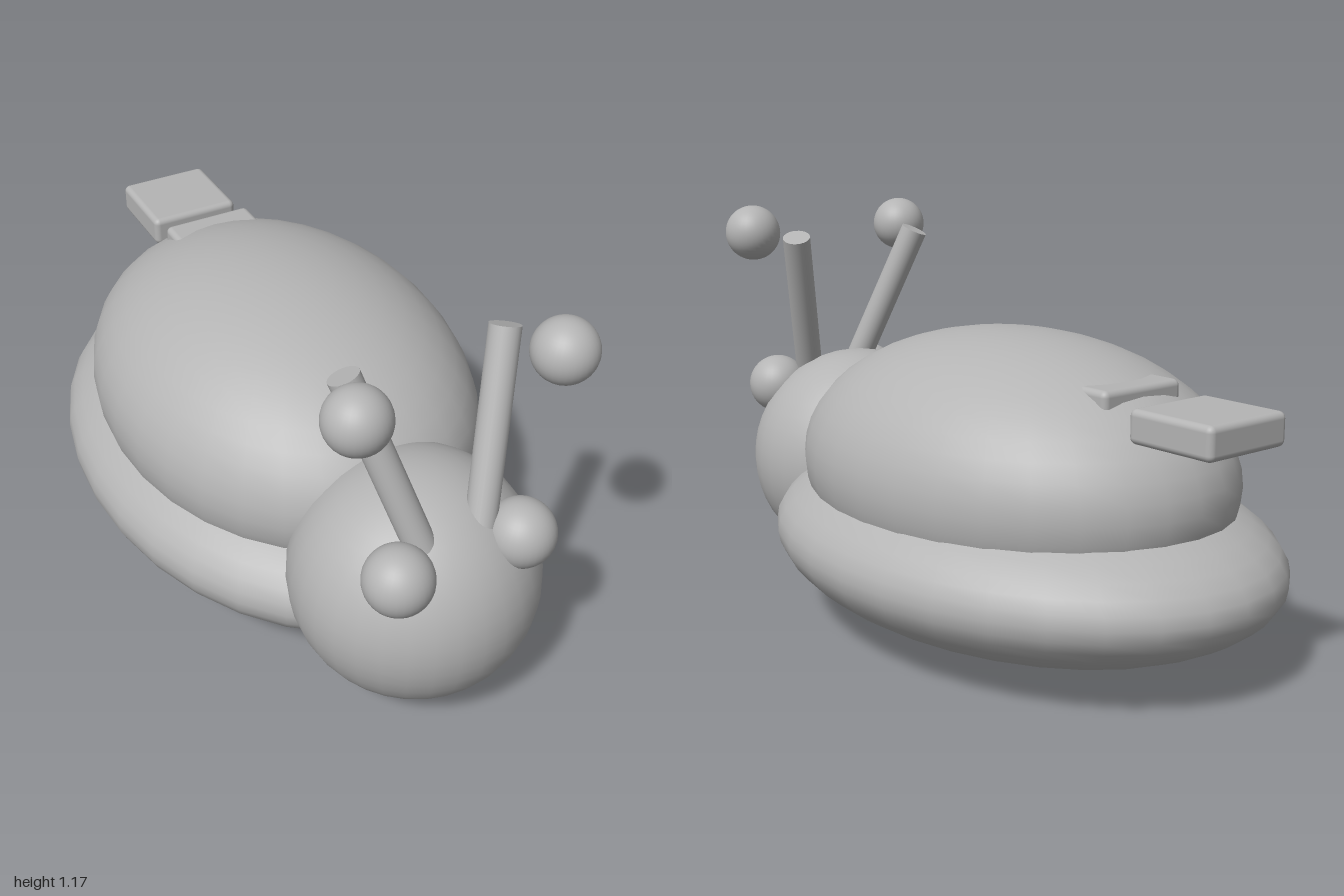
import * as THREE from 'three';
import { RoundedBoxGeometry } from 'three/addons/geometries/RoundedBoxGeometry.js';

export function createModel() {
  const root = new THREE.Group();
  root.name = 'snail';
  const grey = new THREE.MeshStandardMaterial({ color: 0xb4b4b4 });
  grey.name = 'grey';

  function add(name, geometry, x, y, z) {
    const mesh = new THREE.Mesh(geometry, grey);
    mesh.name = name;
    mesh.position.set(x, y, z);
    root.add(mesh);
    return mesh;
  }
  const ellipsoid = (rx, ry, rz) => new THREE.SphereGeometry(1, 32, 24).scale(rx, ry, rz);

  // Flattened body, domed shell and round head
  add('body', ellipsoid(0.615, 0.262, 0.86), 0, 0.264, -0.14);
  add('shell', ellipsoid(0.537, 0.387, 0.72), 0, 0.48, -0.12);
  add('head', ellipsoid(0.344, 0.344, 0.344), 0, 0.358, 0.655);

  // Eyes and antennae, mirrored
  const up = new THREE.Vector3(0, 1, 0);
  for (const [side, s] of [['left', 1], ['right', -1]]) {
    add(side + 'Eye', ellipsoid(0.093, 0.093, 0.093), s * 0.181, 0.583, 0.86);
    add(side + 'AntennaBall', ellipsoid(0.085, 0.085, 0.085), s * 0.284, 1.087, 0.812);

    const base = new THREE.Vector3(s * 0.055, 0.5, 0.85);
    const tip = new THREE.Vector3(s * 0.227, 1.08, 0.648);
    const axis = tip.clone().sub(base);
    const middle = base.clone().add(tip).multiplyScalar(0.5);
    const stalk = add(side + 'AntennaStalk',
      new THREE.CylinderGeometry(0.042, 0.042, axis.length(), 24), middle.x, middle.y, middle.z);
    stalk.quaternion.setFromUnitVectors(up, axis.normalize());
  }

  // Rounded blocks at the back, one sunk into the shell
  for (const [name, y, z] of [['rearBlock', 0.71, -0.845], ['sunkenBlock', 0.737, -0.495]]) {
    add(name, new RoundedBoxGeometry(0.28, 0.09, 0.27, 3, 0.018), 0, y, z);
  }
  return root;
}
